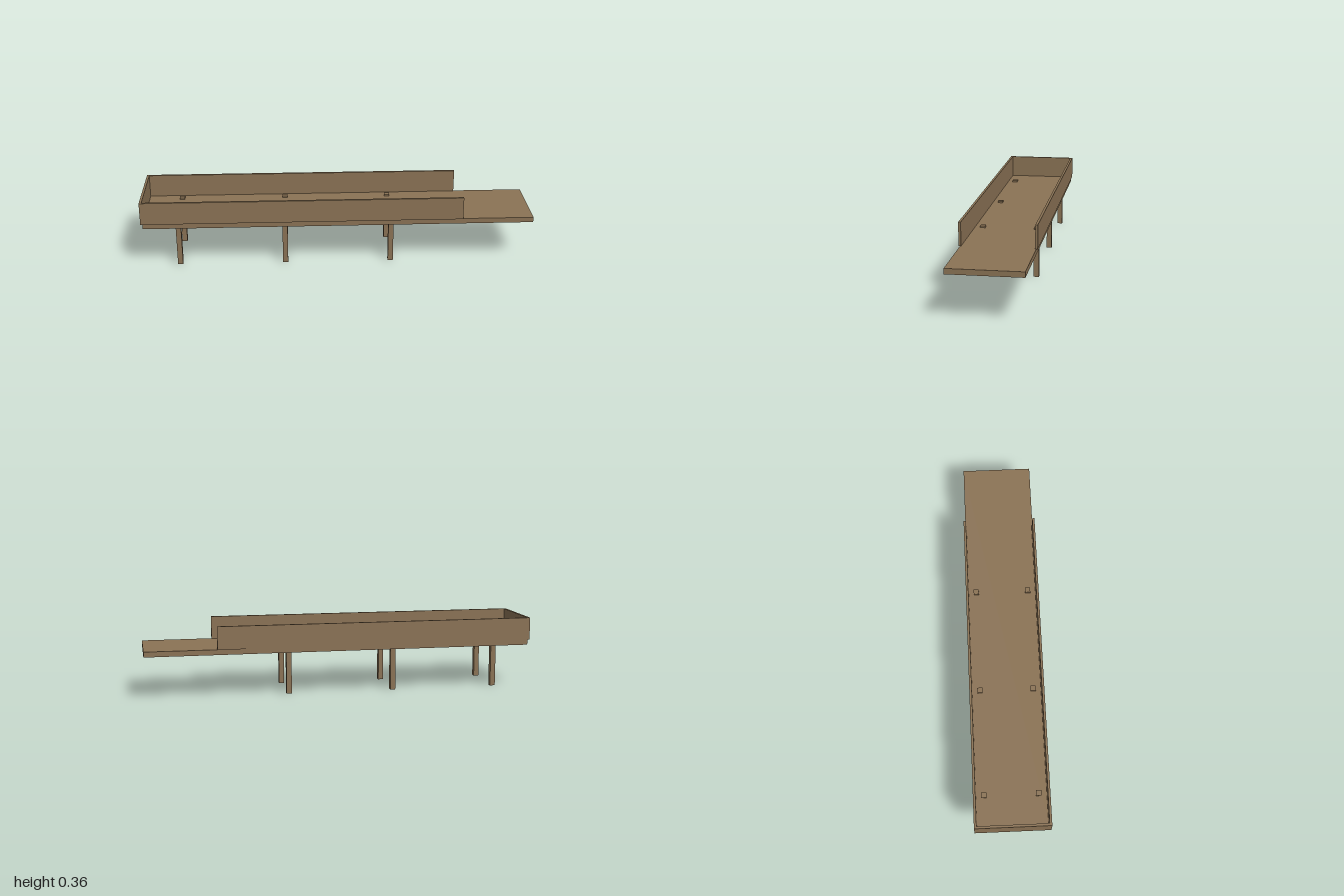
import * as THREE from 'three';

const wood = new THREE.MeshStandardMaterial({ color: 0x8b7355 });

// Box given by its minimum and maximum along each axis
function board(name, [x0, x1], [y0, y1], [z0, z1]) {
  const mesh = new THREE.Mesh(new THREE.BoxGeometry(x1 - x0, y1 - y0, z1 - z0), wood);
  mesh.name = name;
  mesh.position.set((x0 + x1) / 2, (y0 + y1) / 2, (z0 + z1) / 2);
  return mesh;
}

export function createModel() {
  const group = new THREE.Group();
  group.name = 'raisedTrough';

  const deckTop = 0.245, wallTop = 0.362;
  const wallOuter = 0.188, wallInner = 0.176;

  // Long floor, open and bare at the +x end
  group.add(board('deck', [-0.991, 1], [0.218, deckTop], [-0.181, 0.181]));

  // Side walls overhang the deck slightly
  group.add(board('frontWall', [-1, 0.637], [deckTop, wallTop], [wallInner, wallOuter]));
  group.add(board('backWall', [-1, 0.637], [deckTop, wallTop], [-wallOuter, -wallInner]));

  // Closed end between the side walls
  group.add(board('endWall', [-1, -0.988], [deckTop, wallTop], [-wallInner, wallInner]));

  // Three pairs of legs, their tops poking through the deck
  const half = 0.0133;
  for (const x of [-0.815, -0.272, 0.272]) {
    for (const z of [-0.136, 0.136]) {
      group.add(board('leg', [x - half, x + half], [0, 0.254], [z - half, z + half]));
    }
  }
  return group;
}
